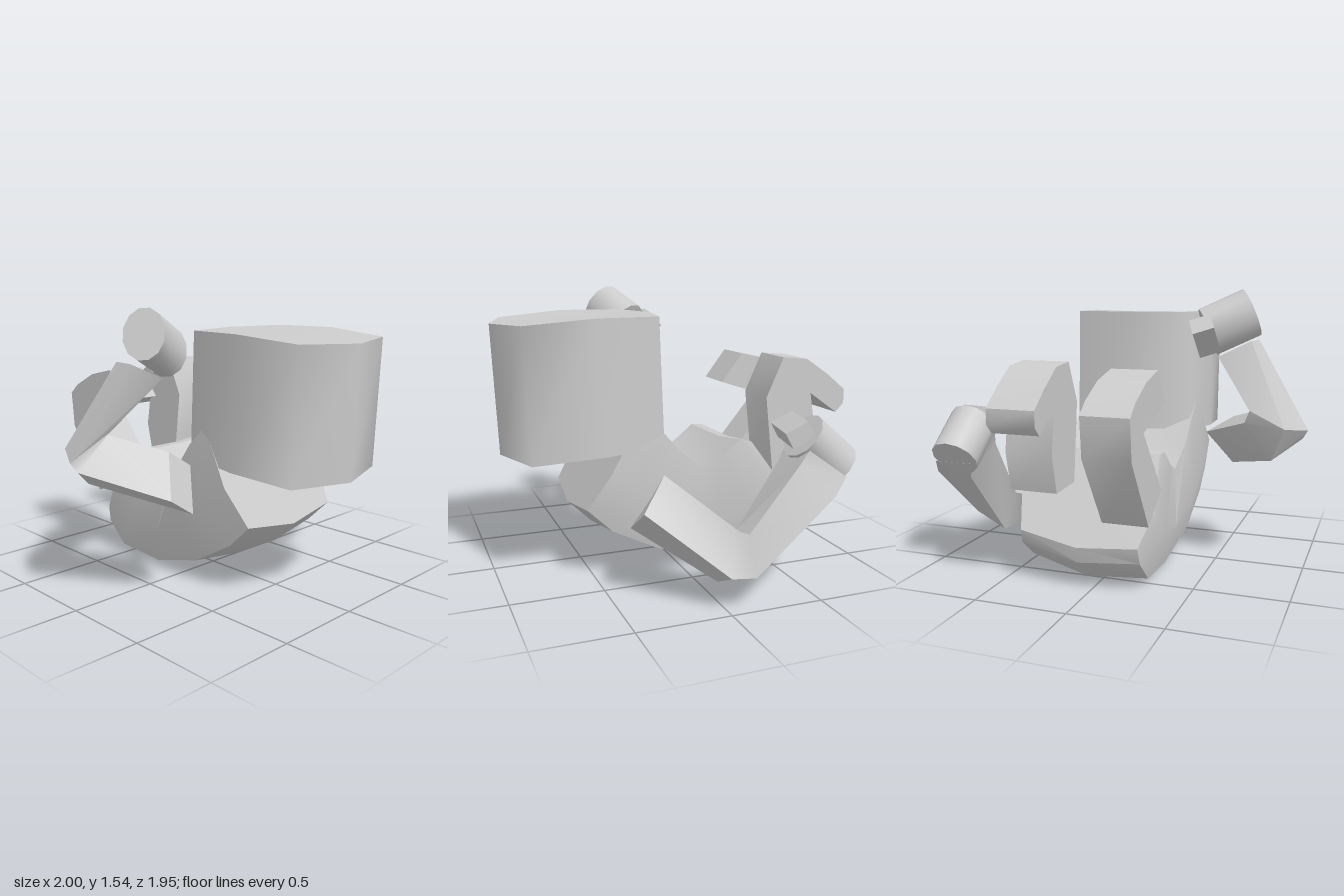
import * as THREE from 'three';
import { toCreasedNormals } from 'three/addons/utils/BufferGeometryUtils.js';

const material = new THREE.MeshStandardMaterial({ color: 0xcccccc });

function addMesh(parent, name, geometry) {
  const mesh = new THREE.Mesh(geometry, material);
  mesh.name = name;
  parent.add(mesh);
  return mesh;
}

// Closed skin through rings of equal point count, always wound outwards
function loft(rings, crease = 0.6) {
  const tris = [];
  const n = rings[0].length;
  const mid = (r) => [0, 1, 2].map((k) => r.reduce((s, p) => s + p[k], 0) / n);
  const first = rings[0], last = rings[rings.length - 1];
  const c0 = mid(first), c1 = mid(last);
  for (let j = 0; j < n; j++) {
    const k = (j + 1) % n;
    for (let i = 0; i < rings.length - 1; i++) {
      const a = rings[i], b = rings[i + 1];
      tris.push([a[j], a[k], b[k]], [a[j], b[k], b[j]]);
    }
    tris.push([c0, first[k], first[j]], [c1, last[j], last[k]]);
  }
  const v = (p) => new THREE.Vector3(...p);
  const o = v(c0);
  const volume = tris.reduce((s, [a, b, c]) =>
    s + v(a).sub(o).dot(v(b).sub(o).cross(v(c).sub(o))), 0);
  if (volume < 0) tris.forEach((t) => t.reverse());
  const g = new THREE.BufferGeometry();
  g.setAttribute('position', new THREE.Float32BufferAttribute(tris.flat(2), 3));
  return toCreasedNormals(g, crease);
}

// Bent leg: a side profile (distance to the back, height) given a width in x
function leg(parent, name, profile, x0, x1) {
  const shape = new THREE.Shape(profile.map((p) => new THREE.Vector2(...p)));
  const g = new THREE.ExtrudeGeometry(shape, { depth: x1 - x0, bevelEnabled: false });
  g.rotateY(Math.PI / 2);
  g.translate(x0, 0, 0);
  addMesh(parent, name, toCreasedNormals(g, 0.8));
}

// Rounded fist: a short cylinder along the given axis, flattened in depth
function fist(parent, name, radius, length, position, axis, flatten) {
  const g = new THREE.CylinderGeometry(radius, radius, length, 12);
  const mesh = addMesh(parent, name, toCreasedNormals(g, 0.6));
  mesh.position.set(...position);
  mesh.scale.z = flatten;
  mesh.quaternion.setFromUnitVectors(new THREE.Vector3(0, 1, 0),
    new THREE.Vector3(...axis).normalize());
}

// Finger block held across a fist
function fingers(parent, name, size, position, rotation) {
  const mesh = addMesh(parent, name, new THREE.BoxGeometry(...size));
  mesh.position.set(...position);
  mesh.rotation.set(...rotation);
}

export function createModel() {
  const model = new THREE.Group();
  model.name = 'tumblingFigure';

  // Head: eight-sided prism, slightly tipped, smooth around the front
  const plan = [[0.05, 0.975], [0.4, 0.87], [0.445, 0.5], [0.41, 0.16],
    [0.05, 0.08], [-0.3, 0.16], [-0.34, 0.5], [-0.3, 0.87]];
  addMesh(model, 'head', loft([
    plan.map(([x, z]) => [x, 0.675 + (0.95 - z) * 0.07, z - 0.03]),
    plan.map(([x, z]) => [x, z > 0.5 ? 1.42 - (z - 0.5) * 0.085 : 1.42, z]),
  ], 1.23));

  // Torso: curled body, stations of [outer z, y, inner z, y, centre x, waist, roll]
  const stations = [
    [0.58, 0.37, 0.25, 0.92, 0.05, 1, 0],
    [0.445, 0.24, 0.13, 0.8, 0.05, 1, 0],
    [0.16, 0.09, 0.03, 0.68, 0.05, 0.98, 0.03],
    [-0.225, 0.005, -0.09, 0.57, 0.06, 0.93, 0.08],
    [-0.565, 0.03, -0.2, 0.62, 0.07, 0.98, 0.09],
    [-0.7, 0.15, -0.32, 0.71, 0.07, 0.98, 0.07],
    [-0.717, 0.235, -0.385, 0.7, 0.07, 0.96, 0.05],
  ];
  // Cross-section: [side offset, fraction from outer to inner]
  const section = [[-0.34, 0.08], [0, 0], [0.34, 0.08], [0.395, 0.45],
    [0.36, 1], [0, 0.95], [-0.36, 1], [-0.395, 0.45]];
  addMesh(model, 'torso', loft(stations.map(([oz, oy, iz, iy, cx, w, roll]) =>
    section.map(([x, t]) => [
      cx + x * w, oy + (iy - oy) * t + roll * x, oz + (iz - oz) * t,
    ]))));

  // Legs: right one folded towards the head, left one upright with a short bent end
  leg(model, 'rightLeg', [[0.49, 0.52], [0.7, 0.38], [0.95, 0.76], [0.97, 0.97],
    [0.9, 1.03], [0.74, 1.11], [0.56, 1.15], [0.43, 0.98], [0.52, 0.95],
    [0.78, 0.87]], -0.32, -0.07);
  leg(model, 'leftLeg', [[0.52, 0.53], [0.74, 0.52], [0.79, 0.73], [0.75, 0.97],
    [0.92, 0.85], [0.97, 0.9], [0.97, 0.98], [0.86, 1.07], [0.72, 1.165],
    [0.57, 1.18], [0.47, 0.96]], 0.16, 0.42);

  // Left arm: upper arm, two elbow rings, wrist, heel of the hand
  addMesh(model, 'leftArm', loft([
    [[0.47, 0.51, 0.2], [0.67, 0.65, 0.23], [0.765, 0.49, 0.37], [0.55, 0.35, 0.37]],
    [[0.69, 0.3, -0.07], [0.93, 0.4, -0.07], [0.99, 0.19, 0], [0.78, 0.09, -0.02]],
    [[0.71, 0.33, -0.16], [0.95, 0.39, -0.11], [1, 0.18, -0.13], [0.78, 0.1, -0.18]],
    [[0.7, 0.68, -0.4], [0.91, 0.7, -0.4], [0.97, 0.54, -0.58], [0.76, 0.52, -0.58]],
    [[0.67, 0.77, -0.46], [0.9, 0.77, -0.46], [0.92, 0.62, -0.67], [0.69, 0.62, -0.67]],
  ]));
  fist(model, 'leftHand', 0.13, 0.27, [0.785, 0.735, -0.59], [0, -0.17, -0.2], 1);
  fingers(model, 'leftFingers', [0.28, 0.09, 0.13], [0.71, 0.84, -0.47], [0.5, -0.2, 0.1]);

  // Right arm: upper arm, two elbow rings, wrist
  addMesh(model, 'rightArm', loft([
    [[-0.54, 0.81, 0.22], [-0.38, 0.71, 0.21], [-0.51, 0.5, 0.37], [-0.66, 0.6, 0.37]],
    [[-0.79, 0.91, 0], [-0.68, 0.84, -0.16], [-0.82, 0.63, -0.1], [-0.97, 0.74, 0.02]],
    [[-0.77, 0.92, 0.03], [-0.71, 0.91, -0.18], [-0.9, 0.82, -0.19], [-1, 0.79, 0]],
    [[-0.5, 1.18, 0.13], [-0.5, 1.18, -0.03], [-0.68, 1.27, -0.02], [-0.7, 1.27, 0.12]],
  ]));
  fist(model, 'rightHand', 0.145, 0.27, [-0.53, 1.365, 0.115], [0.25, -0.12, -0.1], 0.82);
  fingers(model, 'rightFingers', [0.12, 0.1, 0.22], [-0.42, 1.29, -0.02], [0.7, 0, -0.4]);

  return model;
}
